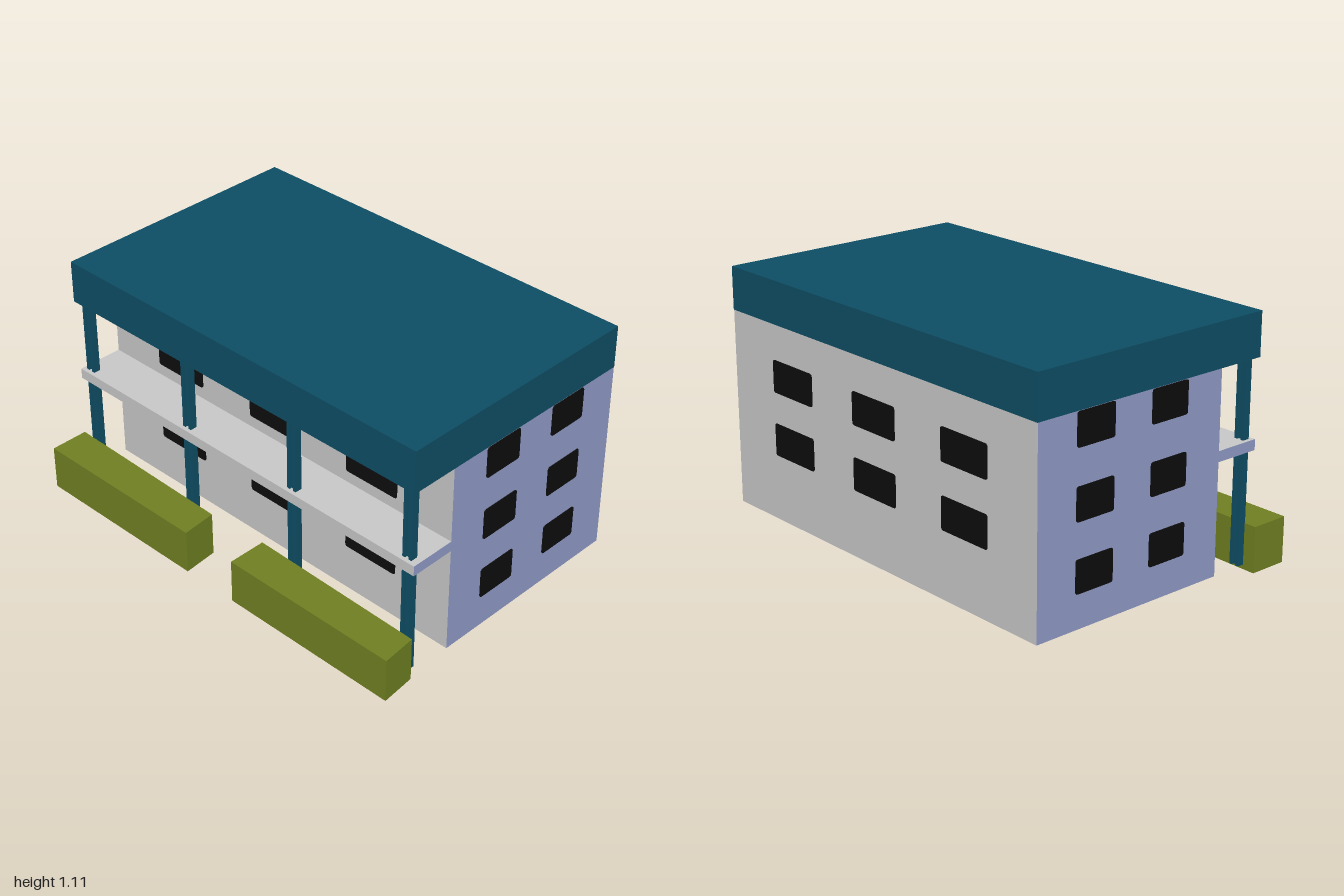
import * as THREE from 'three';

const mat = (name, color, side = THREE.DoubleSide) => {
  const m = new THREE.MeshStandardMaterial({ color, side });
  m.name = name;
  return m;
};

export function createModel() {
  const grey = mat('wallGrey', 0xc9c9c9);
  const blue = mat('sideBlue', 0x919dc9);
  const teal = mat('roofTeal', 0x0e4e65, THREE.FrontSide);
  const green = mat('hedgeGreen', 0x708122);
  const black = mat('windowBlack', 0x0d0d0d, THREE.FrontSide);

  const model = new THREE.Group();
  model.name = 'building';

  const X0 = -0.96, X1 = 0.985, Z0 = -0.67, Z1 = 0.3, Y0 = 0.03, Y1 = 0.915;
  const CX = (X0 + X1) / 2, CZ = (Z0 + Z1) / 2, CY = (Y0 + Y1) / 2;

  const add = (name, geometry, material, parent = model) => {
    const mesh = new THREE.Mesh(geometry, material);
    mesh.name = name;
    parent.add(mesh);
    return mesh;
  };

  // box given by its minimum and maximum corners
  const box = (name, a, b, material, parent) => {
    const m = add(name, new THREE.BoxGeometry(b[0] - a[0], b[1] - a[1], b[2] - a[2]), material, parent);
    m.position.set((a[0] + b[0]) / 2, (a[1] + b[1]) / 2, (a[2] + b[2]) / 2);
    return m;
  };

  // walls: an open shell without a floor
  const wall = (name, width, x, z, turn, material) => {
    const m = add(name, new THREE.PlaneGeometry(width, Y1 - Y0), material);
    m.position.set(x, CY, z);
    m.rotation.y = turn;
  };
  wall('frontWall', X1 - X0, CX, Z1, 0, grey);
  wall('backWall', X1 - X0, CX, Z0, Math.PI, grey);
  wall('leftWall', Z1 - Z0, X1, CZ, Math.PI / 2, blue);
  wall('rightWall', Z1 - Z0, X0, CZ, -Math.PI / 2, blue);

  // window plates with slightly rounded corners, seen from both sides of the wall
  const pane = (w, h, r = 0.012) => {
    const s = new THREE.Shape();
    const x = w / 2, y = h / 2;
    s.moveTo(-x + r, -y);
    s.lineTo(x - r, -y);
    s.quadraticCurveTo(x, -y, x, -y + r);
    s.lineTo(x, y - r);
    s.quadraticCurveTo(x, y, x - r, y);
    s.lineTo(-x + r, y);
    s.quadraticCurveTo(-x, y, -x, y - r);
    s.lineTo(-x, -y + r);
    s.quadraticCurveTo(-x, -y, -x + r, -y);
    return new THREE.ExtrudeGeometry(s, { depth: 0.008, bevelEnabled: false, curveSegments: 3 })
      .translate(0, 0, -0.004);
  };
  const windows = (name, w, h, places, turn) => {
    const group = new THREE.Group();
    group.name = name;
    const geometry = pane(w, h);
    for (const p of places) {
      const m = add('window', geometry, black, group);
      m.position.set(...p);
      m.rotation.y = turn;
    }
    model.add(group);
  };
  const columnsX = [-0.545, 0.015, 0.565];
  const grid = (as, ys, place) => as.flatMap(a => ys.map(y => place(a, y)));
  windows('frontWindows', 0.273, 0.235, grid(columnsX, [0.363, 0.743], (x, y) => [x, y, Z1]), 0);
  windows('backWindows', 0.273, 0.145, grid(columnsX, [0.4, 0.685], (x, y) => [x, y, Z0]), 0);
  for (const [name, x] of [['leftWindows', X1], ['rightWindows', X0]]) {
    windows(name, 0.194, 0.143, grid([0.013, -0.378], [0.25, 0.545, 0.842], (z, y) => [x, y, z]), Math.PI / 2);
  }

  // roof block overhanging the front
  box('roof', [X0, Y1, -0.672], [X1, 1.108, 0.522], teal);

  // balcony slab with blue ends, reaching a little inside
  box('balcony', [X0, 0.523, 0.22], [X1, 0.57, 0.513], [blue, blue, grey, grey, grey, grey]);

  // H-section columns
  for (const x of [-0.918, -0.301, 0.313, 0.932]) {
    const column = new THREE.Group();
    column.name = 'column';
    box('columnFlange', [x - 0.0235, 0.02, 0.462], [x - 0.0095, Y1, 0.495], teal, column);
    box('columnFlange', [x + 0.0095, 0.02, 0.462], [x + 0.0235, Y1, 0.495], teal, column);
    box('columnWeb', [x - 0.0095, 0.02, 0.473], [x + 0.0095, Y1, 0.484], teal, column);
    model.add(column);
  }

  // slightly skewed hedges, open underneath
  for (const x of [-1, 0.135]) {
    const g = new THREE.BoxGeometry(1, 0.205, 1).translate(0, 0.1025, 0);
    const p = g.attributes.position;
    for (let i = 0; i < p.count; i++) {
      const right = p.getX(i) > 0, front = p.getZ(i) > 0;
      p.setX(i, x + (right ? (front ? 0.863 : 0.848) : 0));
      p.setZ(i, front ? 0.67 : right ? 0.508 : 0.492);
    }
    const faces = Array.from(g.index.array);
    faces.splice(18, 6); // bottom face
    g.setIndex(faces);
    g.clearGroups();
    g.computeVertexNormals();
    add('hedge', g, green);
  }

  return model;
}
